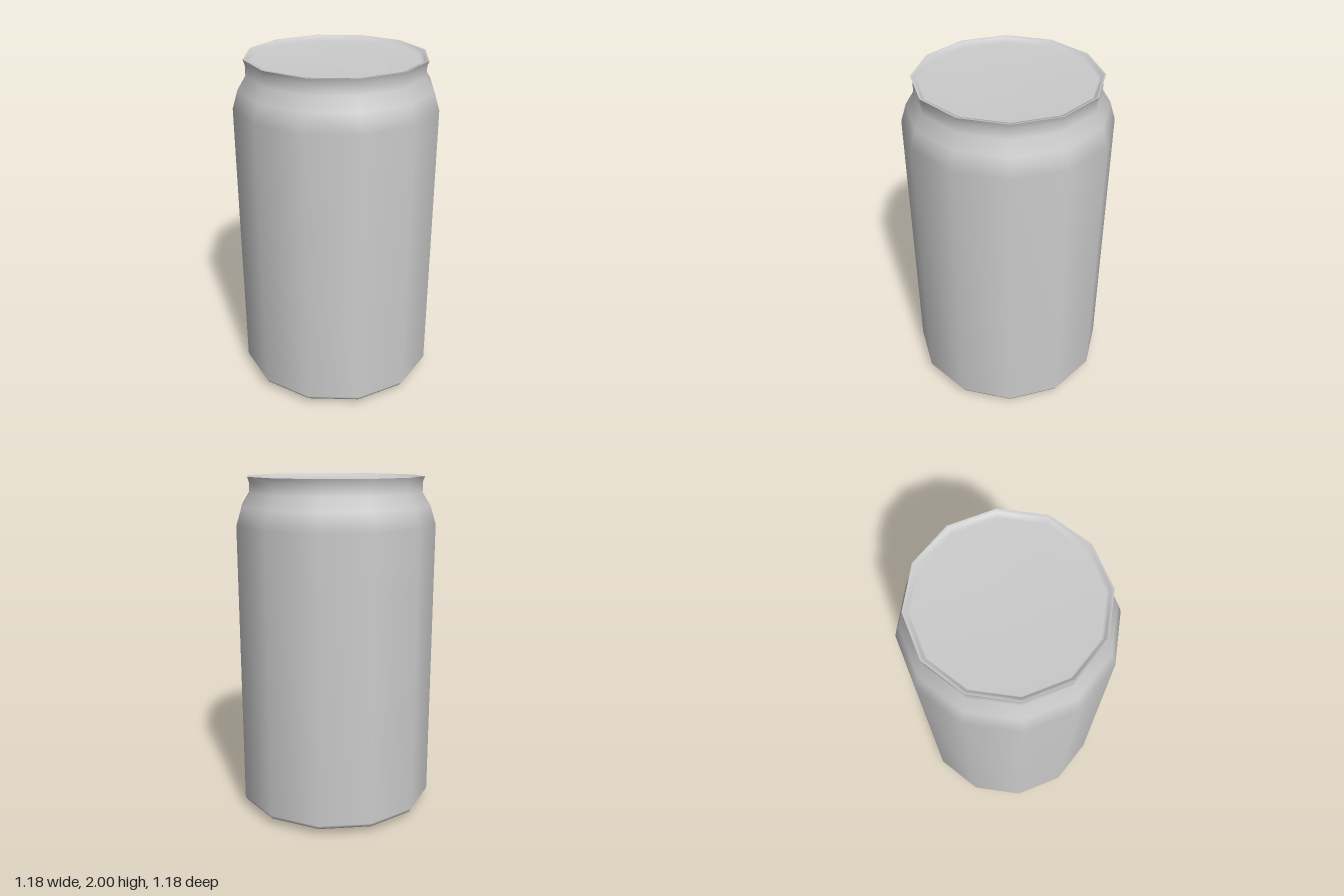
import * as THREE from 'three';

const SIDES = 12;

export function createModel() {
  const can = new THREE.Group();
  can.name = 'drinkCan';
  const metal = new THREE.MeshStandardMaterial({ color: 0xcccccc, side: THREE.DoubleSide });

  // Turned part from [radius, height] pairs
  const turn = (name, profile) => {
    const points = profile.map(([r, y]) => new THREE.Vector2(r, y));
    const mesh = new THREE.Mesh(new THREE.LatheGeometry(points, SIDES), metal);
    mesh.name = name;
    can.add(mesh);
  };

  // Concave underside
  turn('base', [[0, 0.06], [0.25, 0.05], [0.44, 0.025], [0.485, 0]]);

  // Foot bevel, straight wall, shoulder, neck and flared rim
  turn('body', [
    [0.485, 0], [0.575, 0.045], [0.59, 0.07], [0.59, 1.73],
    [0.557, 1.835], [0.51, 1.91], [0.51, 1.97], [0.52, 2],
  ]);

  // Rim lip and shallow recessed lid
  turn('lid', [[0.52, 2], [0.5, 1.998], [0.483, 1.97], [0, 1.97]]);

  // Flat pull tab lying on the lid
  const half = [[-0.07, 0], [-0.035, 0.087], [0.025, 0.126], [0.26, 0.126], [0.325, 0.087], [0.36, 0]];
  const mirrored = half.slice(1, -1).reverse().map(([x, z]) => [x, -z]);
  const outline = [...half, ...mirrored].map(([x, z]) => new THREE.Vector2(x, z));
  const tab = new THREE.Mesh(new THREE.ShapeGeometry(new THREE.Shape(outline)), metal);
  tab.name = 'pullTab';
  tab.rotation.x = -Math.PI / 2;
  tab.position.y = 1.975;
  can.add(tab);

  return can;
}
